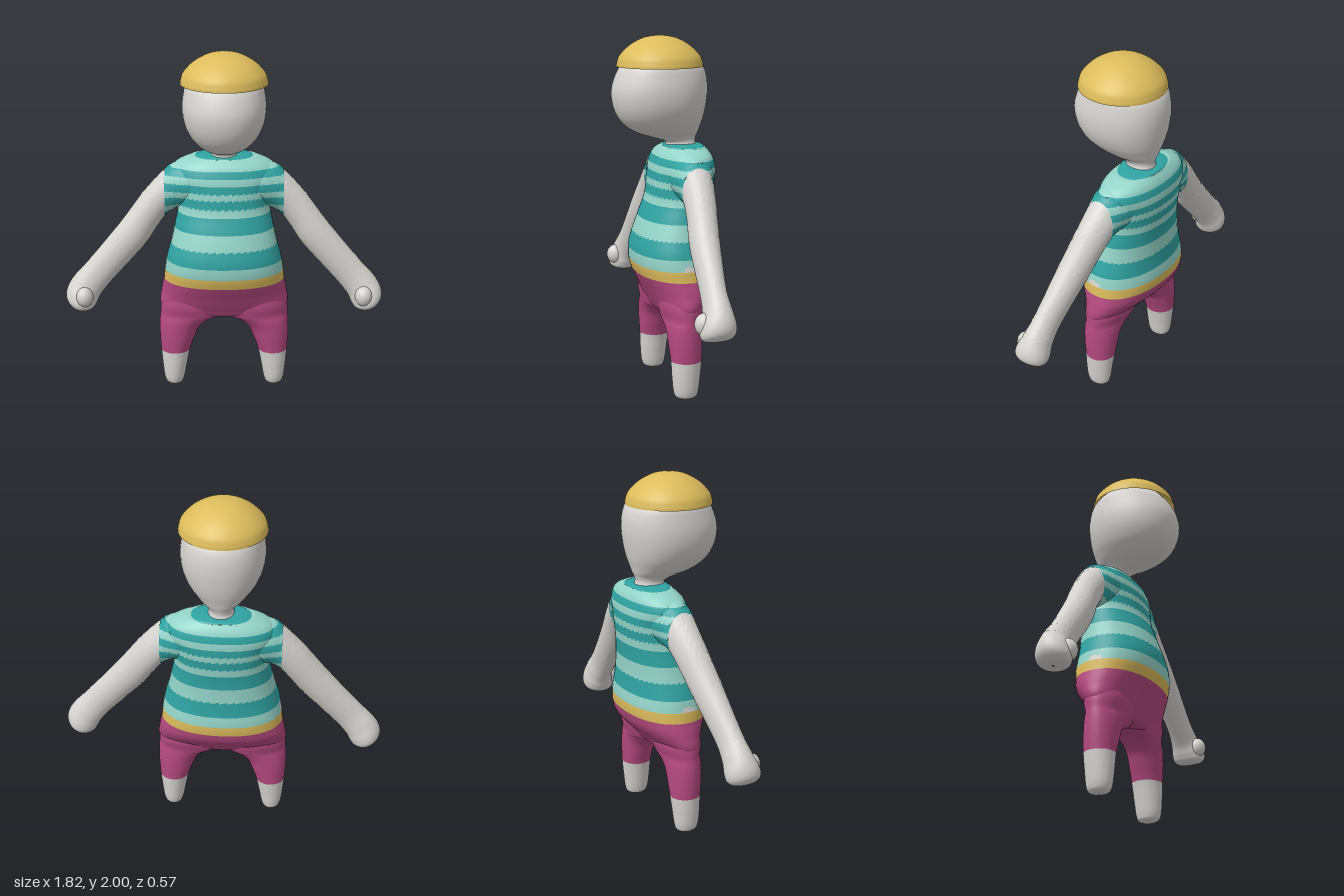
import * as THREE from 'three';

const mat = (name, color, side = THREE.FrontSide) => {
  const m = new THREE.MeshStandardMaterial({ color, side });
  m.name = name;
  return m;
};

// Heights where the clothing changes colour, from the ground up
const LEVELS = [0.22, 0.675, 0.735, 0.8, 0.895, 0.985, 1.075, 1.12, 1.17, 1.205, 1.25, 1.29, 1.33, 1.385];
const SLEEVE_X = 0.335;
const SKIN = 0, TROUSERS = 1, GOLD = 2, LIGHT = 3, DARK = 4;

// Material index for a point on the clothed body
function clothing(x, y) {
  if (Math.abs(x) > SLEEVE_X && y > 0.735) return SKIN;
  const band = LEVELS.filter((l) => y > l).length;
  if (band < 3) return [SKIN, TROUSERS, GOLD][band];
  return band % 2 ? LIGHT : DARK;
}

const snap = (v, levels, tol) => {
  const hit = levels.find((l) => Math.abs(l - v) < tol);
  return hit === undefined ? v : hit;
};

// Smooth skin through rings [ax, ay, bx, by, zFront, zBack]; a and b are opposite ends of each ring
function loft(rings, { steps = 8, sides = 48, power = 2, paint = null, cutX = false } = {}) {
  const rows = (rings.length - 1) * steps;
  const pos = [], buckets = [[], [], [], [], []];
  const at = (k, c) => rings[Math.min(Math.max(k, 0), rings.length - 1)][c];
  const bulge = (v) => Math.sign(v) * Math.abs(v) ** (2 / power);
  for (let i = 0; i <= rows; i++) {
    const k = Math.min(Math.floor(i / steps), rings.length - 2), t = i / steps - k;
    const [ax, ay, bx, by, zf, zb] = rings[0].map((_, c) => {
      const p0 = at(k - 1, c), p1 = at(k, c), p2 = at(k + 1, c), p3 = at(k + 2, c);
      return 0.5 * (2 * p1 + (p2 - p0) * t + (2 * p0 - 5 * p1 + 4 * p2 - p3) * t * t
        + (3 * p1 - p0 - 3 * p2 + p3) * t * t * t);
    });
    for (let j = 0; j < sides; j++) {
      const a = (j / sides) * Math.PI * 2, c = bulge(Math.cos(a)), s = bulge(Math.sin(a));
      let x = (ax + bx) / 2 + (c * (bx - ax)) / 2;
      let y = (ay + by) / 2 + (c * (by - ay)) / 2;
      if (paint) y = snap(y, LEVELS, 0.005);
      if (cutX) x = snap(x, [SLEEVE_X, -SLEEVE_X], 0.007);
      pos.push(x, y, (zf + zb) / 2 + (s * (zf - zb)) / 2);
    }
  }
  const addFace = (...f) => {
    const mid = (c) => (pos[f[0] * 3 + c] + pos[f[1] * 3 + c] + pos[f[2] * 3 + c]) / 3;
    buckets[paint ? paint(mid(0), mid(1)) : SKIN].push(...f);
  };
  for (let i = 0; i < rows; i++) {
    for (let j = 0; j < sides; j++) {
      const p = i * sides + j, q = i * sides + ((j + 1) % sides);
      addFace(p, p + sides, q);
      addFace(q, p + sides, q + sides);
    }
  }
  const g = new THREE.BufferGeometry();
  g.setAttribute('position', new THREE.Float32BufferAttribute(pos, 3));
  g.setIndex(buckets.flat());
  let start = 0;
  buckets.forEach((b, m) => {
    if (b.length) g.addGroup(start, b.length, m);
    start += b.length;
  });
  g.computeVertexNormals();
  return g;
}

// Level ring from [halfWidth, y, zFront, zBack], and side-to-side mirroring of any ring
const level = ([w, y, zf, zb]) => [-w, y, w, y, zf, zb];
const mirror = ([ax, ay, bx, by, zf, zb]) => [-bx, by, -ax, ay, zf, zb];

export function createModel() {
  const model = new THREE.Group();
  model.name = 'figure';
  const gold = mat('gold', 0xdcbc5c, THREE.DoubleSide);
  const mats = [
    mat('pale grey skin', 0xd6d4d0),
    mat('magenta trousers', 0xb54a80),
    gold,
    mat('light teal', 0x94d4c8),
    mat('dark teal', 0x2fa3a2),
  ];
  const add = (name, geometry, material = mats) => {
    const m = new THREE.Mesh(geometry, material);
    m.name = name;
    model.add(m);
    return m;
  };

  // Torso with striped shirt, belt and trouser seat
  const torso = [
    [0.001, 0.455, -0.04, -0.041], [0.28, 0.458, 0.04, -0.12], [0.366, 0.51, 0.075, -0.165],
    [0.362, 0.6, 0.12, -0.245], [0.348, 0.67, 0.155, -0.273], [0.34, 0.74, 0.175, -0.279],
    [0.325, 0.82, 0.175, -0.27], [0.302, 0.9, 0.155, -0.265], [0.28, 1.0, 0.12, -0.265],
    [0.262, 1.1, 0.085, -0.272], [0.272, 1.2, 0.07, -0.28], [0.3, 1.28, 0.055, -0.277],
    [0.28, 1.34, 0.03, -0.26], [0.2, 1.38, -0.005, -0.235], [0.1, 1.396, -0.03, -0.21],
    [0.001, 1.4, -0.11, -0.111],
  ].map(level);
  add('torso', loft(torso, { power: 2.2, paint: clothing }));

  // Head and neck
  const head = [
    [0.085, 1.37, -0.01, -0.205], [0.068, 1.41, -0.02, -0.19], [0.085, 1.44, 0.07, -0.195],
    [0.12, 1.465, 0.145, -0.205], [0.155, 1.5, 0.205, -0.215], [0.192, 1.55, 0.25, -0.23],
    [0.22, 1.62, 0.278, -0.243], [0.23, 1.7, 0.285, -0.25], [0.222, 1.78, 0.262, -0.243],
    [0.205, 1.84, 0.225, -0.215], [0.15, 1.9, 0.16, -0.14], [0.001, 1.93, 0.01, 0.009],
  ].map(level);
  add('head', loft(head, { power: 2.15 }), mats[SKIN]);

  // Domed cap, open underneath
  const dome = new THREE.SplineCurve([
    [0.24, 1.83], [0.237, 1.85], [0.221, 1.89], [0.165, 1.945], [0.085, 1.987], [0, 2],
  ].map(([r, y]) => new THREE.Vector2(r, y))).getPoints(30);
  dome[30].x = 0;
  add('cap', new THREE.LatheGeometry(dome, 56), gold).position.z = 0.015;

  // Legs: [inner x, outer x, y, zFront, zBack]
  const leg = [
    [0.29, 0.291, 0, -0.04, -0.041], [0.25, 0.335, 0.008, 0.01, -0.092],
    [0.235, 0.352, 0.04, 0.03, -0.11], [0.22, 0.362, 0.12, 0.038, -0.12],
    [0.2, 0.37, 0.22, 0.042, -0.13], [0.172, 0.375, 0.3, 0.05, -0.135],
    [0.14, 0.376, 0.37, 0.055, -0.138], [0.08, 0.374, 0.42, 0.06, -0.142],
    [0, 0.37, 0.457, 0.063, -0.148], [0, 0.366, 0.52, 0.075, -0.165],
    [0.03, 0.34, 0.6, 0.07, -0.16],
  ].map(([i, o, y, zf, zb]) => [i, y, o, y, zf, zb]);

  // Arms from inside the shoulder to the rounded hand: upper edge, lower edge, depth
  const arm = [
    [0.1, 1.35, 0.1, 1.12, 0.02, -0.22], [0.2, 1.362, 0.2, 1.1, 0.025, -0.225],
    [0.285, 1.345, 0.27, 1.085, 0.01, -0.205], [0.345, 1.3, 0.325, 1.05, 0, -0.185],
    [0.457, 1.18, 0.385, 0.97, 0.005, -0.165], [0.59, 1.005, 0.455, 0.87, 0.022, -0.14],
    [0.775, 0.783, 0.635, 0.672, 0.03, -0.105], [0.86, 0.69, 0.708, 0.582, 0.045, -0.108],
    [0.903, 0.62, 0.735, 0.53, 0.07, -0.118], [0.91, 0.56, 0.755, 0.5, 0.075, -0.112],
    [0.88, 0.515, 0.79, 0.488, 0.05, -0.08], [0.84, 0.496, 0.835, 0.494, -0.01, -0.02],
  ];

  for (const [side, flip] of [['left', (r) => r], ['right', mirror]]) {
    add(`${side}Leg`, loft(leg.map(flip), { paint: clothing }));
    add(`${side}Arm`, loft(arm.map(flip), {
      steps: 12, sides: 64, cutX: true,
      paint: (x, y) => (Math.abs(x) > SLEEVE_X ? SKIN : clothing(x, y)),
    }));
    // Thumb stub at the front of the hand
    const thumb = add(`${side}Thumb`, new THREE.SphereGeometry(1, 24, 16), mats[SKIN]);
    thumb.scale.set(0.05, 0.06, 0.055);
    thumb.position.set(side === 'left' ? 0.8 : -0.8, 0.585, 0.042);
  }
  return model;
}
